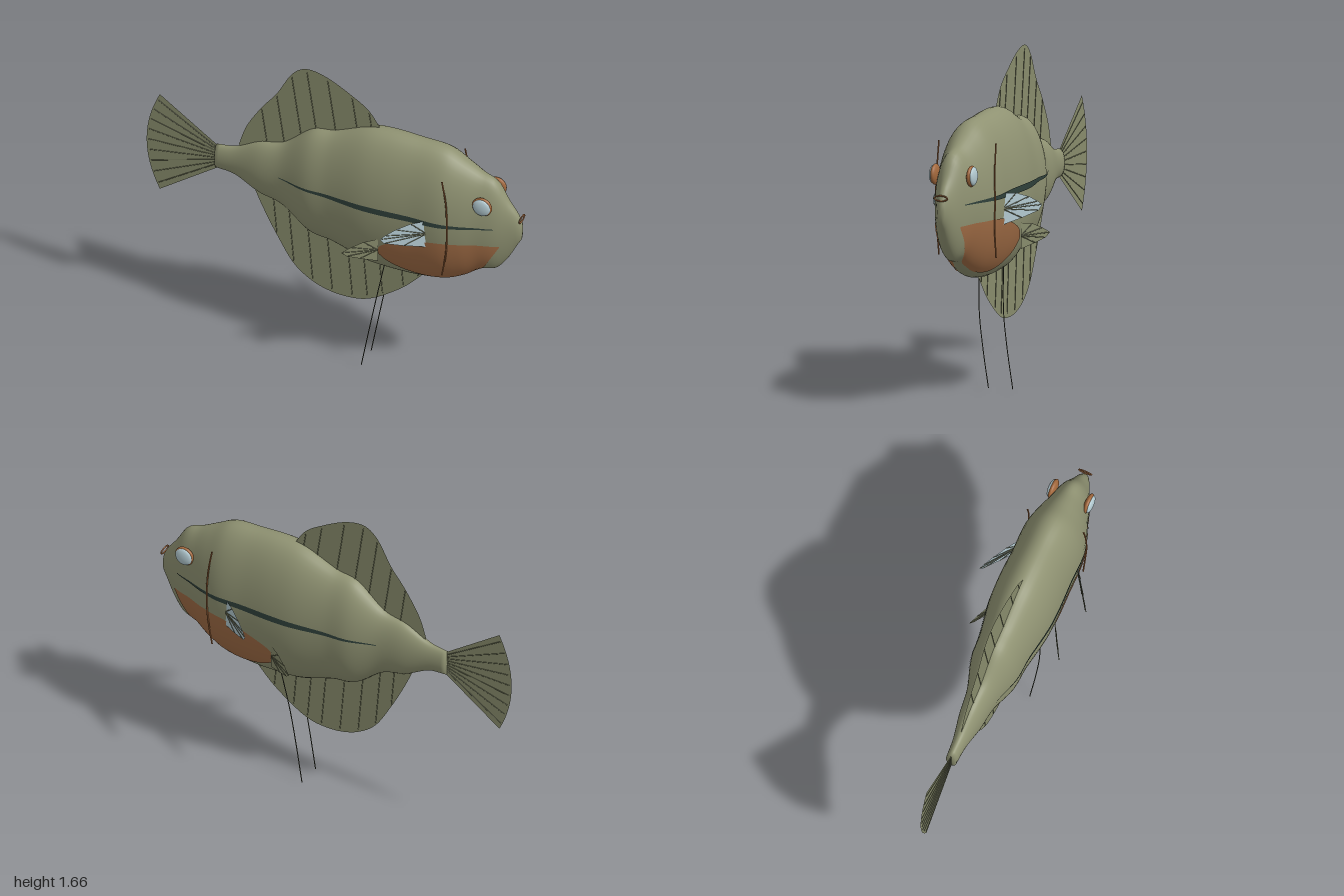
import * as THREE from 'three';

const mat = (name, color, side = THREE.FrontSide) => {
  const m = new THREE.MeshStandardMaterial({ color, side });
  m.name = name;
  return m;
};

// Smooth lookup of one column in a table sorted by its first column
function lookup(t, x, c) {
  let i = 0;
  while (i < t.length - 2 && x > t[i + 1][0]) i++;
  const slope = (k) => {
    const a = t[Math.max(k - 1, 0)], b = t[Math.min(k + 1, t.length - 1)];
    return (b[c] - a[c]) / (b[0] - a[0]);
  };
  const h = t[i + 1][0] - t[i][0];
  const u = THREE.MathUtils.clamp((x - t[i][0]) / h, 0, 1), u2 = u * u, u3 = u2 * u;
  return (2 * u3 - 3 * u2 + 1) * t[i][c] + (u3 - 2 * u2 + u) * h * slope(i)
    + (3 * u2 - 2 * u3) * t[i + 1][c] + (u3 - u2) * h * slope(i + 1);
}

// Body profile: x, top, bottom, half width
const BODY = [
  [-0.63, 1.075, 0.937, 0.028], [-0.53, 1.09, 0.925, 0.036], [-0.4, 1.155, 0.855, 0.06],
  [-0.27, 1.19, 0.815, 0.077], [-0.12, 1.31, 0.70, 0.122], [0, 1.335, 0.675, 0.132],
  [0.18, 1.405, 0.615, 0.16], [0.3, 1.417, 0.602, 0.165], [0.45, 1.408, 0.6, 0.161],
  [0.6, 1.393, 0.622, 0.16], [0.7, 1.34, 0.668, 0.137], [0.78, 1.295, 0.722, 0.108],
  [0.86, 1.258, 0.745, 0.082], [0.92, 1.16, 0.82, 0.055], [0.965, 1.1, 0.905, 0.034],
  [0.988, 1.055, 0.945, 0.02],
];
const section = (x) => {
  const t = lookup(BODY, x, 1), b = lookup(BODY, x, 2);
  return { cy: (t + b) / 2, h: (t - b) / 2, w: lookup(BODY, x, 3) };
};
const bodyZ = (x, y) => {
  const { cy, h, w } = section(x);
  return w * Math.sqrt(Math.max(0, 1 - ((y - cy) / h) ** 2));
};

function bufferGeometry(pos, idx) {
  const g = new THREE.BufferGeometry();
  g.setAttribute('position', new THREE.Float32BufferAttribute(pos, 3));
  g.setIndex(idx);
  g.computeVertexNormals();
  return g;
}

function bodyGeometry() {
  const N = 80, M = 48, pos = [], idx = [];
  for (let i = 0; i <= N; i++) {
    const x = -0.63 + (1.618 * i) / N, { cy, h, w } = section(x);
    for (let j = 0; j < M; j++) {
      const a = (j / M) * Math.PI * 2;
      pos.push(x, cy + h * Math.cos(a), w * Math.sin(a));
      if (i === N) continue;
      const p = i * M + j, q = i * M + ((j + 1) % M);
      idx.push(p, q, q + M, p, q + M, p + M);
    }
  }
  // Closed tail stump and snout
  const tail = pos.length / 3;
  pos.push(-0.631, 1.006, 0, 0.994, 1.0, 0);
  for (let j = 0; j < M; j++) {
    const k = (j + 1) % M;
    idx.push(tail, k, j, tail + 1, N * M + j, N * M + k);
  }
  return bufferGeometry(pos, idx);
}

// Thin painted patch that hugs the flank; table rows are x, lower y, upper y
function skinPatch(table, side) {
  const N = 48, M = 14, pos = [], idx = [];
  const x0 = table[0][0], x1 = table[table.length - 1][0];
  for (let i = 0; i <= N; i++) {
    const x = x0 + ((x1 - x0) * i) / N;
    const lo = lookup(table, x, 1), hi = lookup(table, x, 2);
    for (let j = 0; j <= M; j++) {
      const y = lo + ((hi - lo) * j) / M;
      pos.push(x, y, side * (bodyZ(x, y) + 0.004));
      if (i === N || j === M) continue;
      const p = i * (M + 1) + j, q = p + M + 1;
      if (side > 0) idx.push(p, q, q + 1, p, q + 1, p + 1);
      else idx.push(p, q + 1, q, p, p + 1, q + 1);
    }
  }
  return bufferGeometry(pos, idx);
}

const BELLY = [
  [0.275, 0.765, 0.785], [0.31, 0.72, 0.825], [0.38, 0.678, 0.86], [0.48, 0.648, 0.895],
  [0.57, 0.645, 0.917], [0.66, 0.66, 0.922], [0.73, 0.695, 0.922], [0.8, 0.75, 0.922],
  [0.85, 0.835, 0.92], [0.895, 0.912, 0.918],
];
const STRIPE = [
  [-0.27, 1.022, 1.026], [0, 1.016, 1.036], [0.25, 1.014, 1.046],
  [0.5, 1.016, 1.044], [0.7, 1.019, 1.035], [0.87, 1.022, 1.026],
];

// Outer edges of the large fins
const DORSAL = [[-0.51, 1.11], [-0.47, 1.23], [-0.39, 1.364], [-0.31, 1.47], [-0.23, 1.61],
  [-0.15, 1.663], [-0.04, 1.64], [0.09, 1.567], [0.18, 1.5], [0.24, 1.41]];
const ANAL = [[-0.45, 0.92], [-0.39, 0.775], [-0.31, 0.615], [-0.22, 0.465], [-0.12, 0.385],
  [-0.016, 0.348], [0.09, 0.342], [0.17, 0.358], [0.25, 0.4], [0.36, 0.48], [0.44, 0.56], [0.5, 0.63]];

export function createModel() {
  const root = new THREE.Group();
  root.name = 'fish';
  const D = THREE.DoubleSide;
  const skin = mat('olive skin', 0x8f9272), fin = mat('olive fin', 0x888c6c, D);
  const rayMat = mat('dark fin ray', 0x696d53), orange = mat('belly orange', 0xa06c45, D);
  const rim = mat('copper rim', 0xa2683c), pale = mat('pale blue', 0xb4cbd2, D);
  const dark = mat('dark green stripe', 0x2f403a, D), thread = mat('dark thread', 0x45483a);

  const add = (name, geo, material, parent = root) => {
    const m = new THREE.Mesh(geo, material);
    m.name = name;
    parent.add(m);
    return m;
  };
  const V = (a) => new THREE.Vector3(...a);
  const tube = (name, pts, r, material, parent, closed = false, seg = 32) =>
    add(name, new THREE.TubeGeometry(new THREE.CatmullRomCurve3(pts.map(V), closed), seg, r, 6, closed), material, parent);
  const ray = (a, b, parent) => tube('finRay', [a, b], 0.0025, rayMat, parent, false, 1);

  add('body', bodyGeometry(), skin);

  // Dorsal and anal fins with rays running into the body
  const bigFin = (name, edge, inner, rootY, lean) => {
    const g = new THREE.Group();
    g.name = name;
    root.add(g);
    const s = new THREE.Shape();
    s.moveTo(...edge[0]);
    s.splineThru(edge.slice(1).map((p) => new THREE.Vector2(...p)));
    inner.forEach((p) => s.lineTo(...p));
    add(name + 'Web', new THREE.ShapeGeometry(s, 5), fin, g);
    for (let i = 2; i < edge.length - 1; i++) {
      const [x, y] = edge[i];
      ray([x, y + (rootY - y) * 0.03, 0], [x + lean * Math.abs(y - rootY), rootY, 0], g);
    }
  };
  bigFin('dorsalFin', DORSAL, [[0.2, 1.2], [-0.1, 1.1], [-0.48, 1.04]], 1.05, 0.14);
  bigFin('analFin', ANAL, [[0.4, 0.8], [0, 0.85], [-0.42, 0.97]], 0.95, -0.08);

  // Tail fan
  const tail = new THREE.Group();
  tail.name = 'tailFin';
  root.add(tail);
  const fan = new THREE.Shape();
  const tailPoint = (t) => [-1 + 0.07 * t * t, 1.007 + 0.287 * t];
  fan.moveTo(-0.61, 1.06);
  for (let i = 0; i <= 16; i++) fan.lineTo(...tailPoint(1 - i / 8));
  fan.lineTo(-0.61, 0.945);
  add('tailWeb', new THREE.ShapeGeometry(fan), fin, tail);
  for (let i = -4; i <= 4; i++) {
    const [x, y] = tailPoint(i / 4.6);
    ray([-0.62, 1.006 + i * 0.011, 0], [x + 0.01, y, 0], tail);
  }

  // Fan-shaped side fin; outline is (distance outward, y)
  const sideFin = (name, a, b, outline, material, s) => {
    const g = new THREE.Group();
    g.name = name;
    root.add(g);
    const at = ([u, y]) => [a[0] + (b[0] - a[0]) * u, y, s * (a[1] + (b[1] - a[1]) * u)];
    const hub = at([0, (outline[0][1] + outline[outline.length - 1][1]) / 2]);
    const pos = [...hub], idx = [];
    outline.forEach((p, i) => {
      pos.push(...at(p));
      if (i) idx.push(0, i, i + 1);
      if (i && i < outline.length - 1) ray(hub, at([p[0] * 0.97, p[1]]), g);
    });
    add(name + 'Web', bufferGeometry(pos, idx), material, g);
  };

  for (const s of [1, -1]) {
    const side = s > 0 ? 'right' : 'left';
    add(side + 'BellyPatch', skinPatch(BELLY, s), orange);
    add(side + 'FlankStripe', skinPatch(STRIPE, s), dark);
    tube(side + 'GillLine', [[0.627, 1.297, s * 0.15], [0.649, 1.16, s * 0.152], [0.655, 1.015, s * 0.156],
      [0.649, 0.87, s * 0.152], [0.627, 0.73, s * 0.15]], 0.004, rim);

    sideFin(side + 'PectoralFin', [0.548, 0.155], [0.355, 0.287],
      [[0, 1.04], [0.35, 1.033], [0.68, 1.008], [0.9, 0.98], [1, 0.962], [0.92, 0.935], [0.5, 0.907], [0, 0.882]], pale, s);
    sideFin(side + 'PelvicFin', [0.288, 0.15], [0.13, 0.242],
      [[0, 0.853], [0.4, 0.842], [0.75, 0.815], [1, 0.788], [0.85, 0.765], [0.5, 0.745], [0, 0.722]], fin, s);

    // Eye: copper rim with a pale lens
    const rimMesh = add(side + 'EyeRim', new THREE.SphereGeometry(0.052, 32, 20), rim);
    rimMesh.scale.z = 0.38;
    rimMesh.position.set(0.818, 1.16, s * 0.095);
    const lens = add(side + 'EyeLens', new THREE.SphereGeometry(0.046, 32, 20), pale);
    lens.scale.z = 0.34;
    lens.position.set(0.818, 1.16, s * 0.105);

    // Trailing belly thread
    const z = s > 0 ? 0.068 : -0.06;
    tube(side + 'Thread', [[0.292, 0.66, z], [0.245, 0.4, z + 0.018], [0.21, 0.22, z + 0.014], [0.166, 0.002, z]], 0.0025, thread);
  }

  // Ring-shaped mouth
  const lips = [];
  for (let i = 0; i < 16; i++) {
    const a = (i / 16) * Math.PI * 2;
    lips.push([0.99, 1.07 + 0.013 * Math.sin(a), 0.034 * Math.cos(a)]);
  }
  tube('mouth', lips, 0.004, rim, root, true, 40);

  return root;
}
